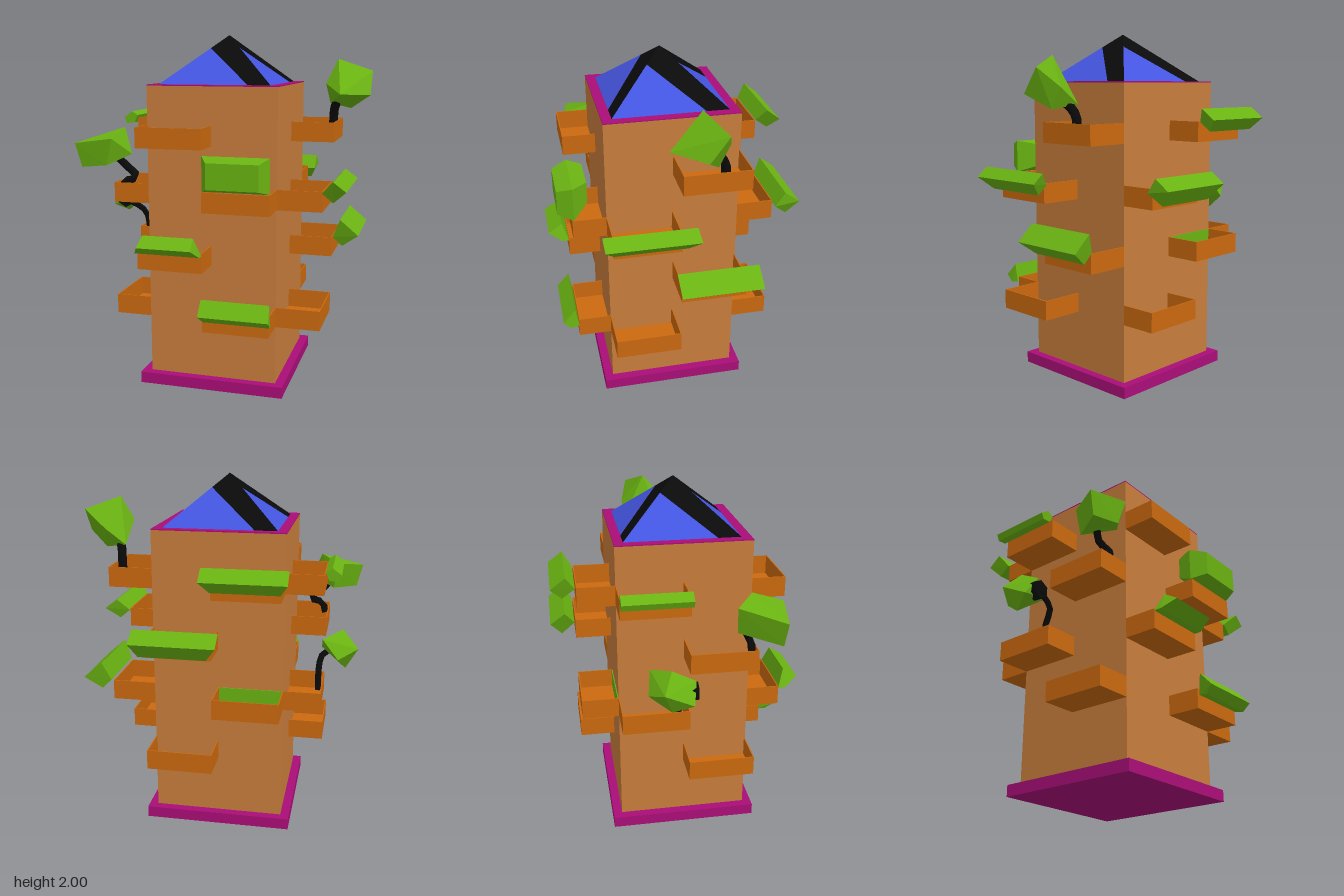
import * as THREE from 'three';
import { ConvexGeometry } from 'three/addons/geometries/ConvexGeometry.js';

const mat = (name, color, side = THREE.FrontSide) => {
  const m = new THREE.MeshStandardMaterial({ color, side });
  m.name = name;
  return m;
};

export function createModel() {
  const model = new THREE.Group();
  const brown = mat('towerBrown', 0xc87d3c);
  const orange = mat('planterOrange', 0xcb690f);
  const green = mat('leafGreen', 0x6ab312);
  const magenta = mat('trimMagenta', 0xaa0e78);
  const blue = mat('glassBlue', 0x4455e0);
  const black = mat('black', 0x0a0a0a);

  const add = (name, geo, material, parent = model) => {
    const mesh = new THREE.Mesh(geo, material);
    mesh.name = name;
    parent.add(mesh);
    return mesh;
  };
  // Box given by its minimum and maximum corners
  const box = (name, a, b, material, parent) => {
    const mesh = add(name, new THREE.BoxGeometry(b[0] - a[0], b[1] - a[1], b[2] - a[2]), material, parent);
    mesh.position.set((a[0] + b[0]) / 2, (a[1] + b[1]) / 2, (a[2] + b[2]) / 2);
    return mesh;
  };

  // Tower, base slab and roof rim
  box('base', [-0.44, 0, -0.40], [0.40, 0.065, 0.44], magenta);
  box('tower', [-0.39, 0.065, -0.35], [0.35, 1.724, 0.39], brown);
  box('roofRim', [-0.39, 1.724, -0.35], [0.35, 1.73, 0.39], magenta);

  // Pyramid roof: each slope has a blue pane and a black band
  const tri = (...pts) => {
    const g = new THREE.BufferGeometry().setFromPoints(pts);
    g.computeVertexNormals();
    return g;
  };
  const h = 0.317;
  const apex = new THREE.Vector3(0, 0.27, 0);
  const left = new THREE.Vector3(-h, 0, h);
  const right = new THREE.Vector3(h, 0, h);
  const mid = apex.clone().lerp(left, 0.27);
  const foot = left.clone().lerp(right, 0.8);
  const roof = new THREE.Group();
  roof.name = 'roof';
  roof.position.set(-0.02, 1.73, 0.018);
  for (let k = 0; k < 4; k++) {
    const slope = new THREE.Group();
    slope.name = 'roofSlope';
    slope.rotation.y = k * Math.PI / 2;
    add('roofPane', tri(left, foot, mid), blue, slope);
    add('roofBand', tri(mid, foot, apex, foot, right, apex), black, slope);
    roof.add(slope);
  }
  model.add(roof);

  // Open planter boxes, staggered in two columns on every side
  const levels = [0.40, 0.73, 1.065, 1.40];
  const t = 0.006;
  const sides = [
    { name: 'front', along: 'x', wall: 0.39, out: 0.575, cols: [[-0.02, 0.35], [-0.39, -0.02]] },
    { name: 'back', along: 'x', wall: -0.35, out: -0.555, cols: [[-0.02, 0.35], [-0.39, -0.02]] },
    { name: 'left', along: 'z', wall: 0.35, out: 0.597, cols: [[0.02, 0.39], [-0.35, 0.02]] },
    { name: 'right', along: 'z', wall: -0.39, out: -0.597, cols: [[0.02, 0.39], [-0.35, 0.02]] },
  ];
  for (const s of sides) {
    levels.forEach((y, i) => {
      const [a0, a1] = s.cols[i % 2];
      const planter = new THREE.Group();
      planter.name = s.name + 'Planter';
      const piece = (name, p0, p1, y0, y1, o0, o1) => {
        const lo = Math.min(o0, o1), hi = Math.max(o0, o1);
        if (s.along === 'x') box(name, [p0, y0, lo], [p1, y1, hi], orange, planter);
        else box(name, [lo, y0, p0], [hi, y1, p1], orange, planter);
      };
      const top = y + 0.112;
      const inner = s.out - Math.sign(s.out) * t;
      piece('planterFloor', a0 + t, a1 - t, y, y + t, s.wall, inner);
      piece('planterFace', a0, a1, y, top, inner, s.out);
      piece('planterEnd', a0, a0 + t, y, top, s.wall, inner);
      piece('planterEnd', a1 - t, a1, y, top, s.wall, inner);
      model.add(planter);
    });
  }
  // Green lining in one back planter
  box('planterLining', [-0.384, 0.74, -0.355], [-0.026, 0.842, -0.35], green);

  // Hedges: section corners as [outward, y, start, end]
  const hedge = (along, corners) => {
    const pts = corners.flatMap(([o, y, a0, a1]) => [a0, a1].map((a) =>
      along === 'x' ? new THREE.Vector3(a, y, o) : new THREE.Vector3(o, y, a)));
    add('hedge', new ConvexGeometry(pts), green);
  };
  hedge('x', [[0.575, 0.83, -0.39, -0.02], [0.615, 0.83, -0.39, -0.02],
    [0.61, 0.932, -0.345, -0.055], [0.692, 0.88, -0.35, -0.045]]);
  hedge('x', [[0.575, 0.48, 0.0, 0.36], [0.595, 0.592, -0.02, 0.36],
    [0.665, 0.515, -0.02, 0.37], [0.62, 0.475, 0.0, 0.37]]);
  hedge('x', [[0.478, 1.345, 0, 0.235], [0.478, 1.22, 0, 0.235],
    [0.565, 1.37, -0.02, 0.35], [0.565, 1.18, -0.02, 0.35],
    [0.65, 1.345, 0.028, 0.31], [0.65, 1.205, 0.028, 0.31]]);
  hedge('x', [[-0.56, 1.51, -0.395, -0.03], [-0.61, 1.585, -0.435, 0.02],
    [-0.69, 1.525, -0.435, 0.02], [-0.63, 1.46, -0.395, -0.03]]);
  hedge('x', [[-0.56, 1.16, -0.01, 0.395], [-0.615, 1.24, -0.07, 0.395],
    [-0.70, 1.18, -0.07, 0.395], [-0.635, 1.095, -0.01, 0.36]]);
  hedge('z', [[0.595, 1.17, 0, 0.40], [0.66, 1.243, -0.045, 0.455],
    [0.73, 1.19, -0.055, 0.45], [0.655, 1.12, 0, 0.395]]);
  hedge('z', [[0.605, 0.85, -0.365, 0.03], [0.65, 0.96, -0.395, 0.06],
    [0.755, 0.87, -0.40, 0.055], [0.66, 0.797, -0.365, 0.02]]);
  hedge('z', [[-0.685, 1.515, -0.35, 0.02], [-0.635, 1.552, -0.35, 0.02],
    [-0.60, 1.53, -0.35, 0.02], [-0.62, 1.485, -0.35, 0.02], [-0.67, 1.48, -0.35, 0.02]]);

  // Small trees: a bent stem and a faceted crown
  const tree = (path, r, crown) => {
    const group = new THREE.Group();
    group.name = 'tree';
    const v = (p) => new THREE.Vector3(...p);
    const curve = new THREE.CatmullRomCurve3(path.map(v));
    add('stem', new THREE.TubeGeometry(curve, 8, r, 6), black, group);
    add('crown', new ConvexGeometry(crown.map(v)), green, group);
    model.add(group);
    return group;
  };
  tree([[0.56, 1.42, -0.2], [0.56, 1.53, -0.21], [0.57, 1.59, -0.18], [0.62, 1.66, -0.1]], 0.026, [
    [0.60, 1.867, -0.07], [0.787, 1.80, -0.16], [0.787, 1.665, -0.06], [0.67, 1.585, -0.14],
    [0.54, 1.61, -0.2], [0.54, 1.73, -0.015], [0.637, 1.675, 0.105], [0.66, 1.7, -0.2]]);
  tree([[-0.57, 1.12, 0.35], [-0.55, 1.18, 0.36], [-0.47, 1.205, 0.36], [-0.55, 1.27, 0.33], [-0.6, 1.33, 0.36]], 0.022, [
    [-0.79, 1.405, 0.48], [-0.55, 1.44, 0.52], [-0.755, 1.27, 0.47], [-0.59, 1.29, 0.5],
    [-0.65, 1.45, 0.25], [-0.54, 1.49, 0.35], [-0.48, 1.345, 0.40], [-0.62, 1.30, 0.26]]);
  const low = tree([[-0.565, 0.75, -0.05], [-0.565, 0.88, -0.03], [-0.58, 0.95, 0.01], [-0.685, 1.01, 0.03]], 0.018, [
    [-0.79, 1.05, -0.15], [-0.70, 1.147, -0.1], [-0.59, 1.11, -0.2], [-0.58, 1.02, -0.05],
    [-0.72, 0.915, -0.1], [-0.77, 0.97, 0.01], [-0.7, 1.08, 0.03], [-0.62, 0.99, 0.02], [-0.68, 1.0, -0.22]]);
  // Thick stem end on the lowest crown
  const end = add('stemEnd', new THREE.CylinderGeometry(0.055, 0.055, 0.05, 6), black, low);
  end.rotation.x = Math.PI / 2;
  end.position.set(-0.685, 1.015, 0.015);

  return model;
}
